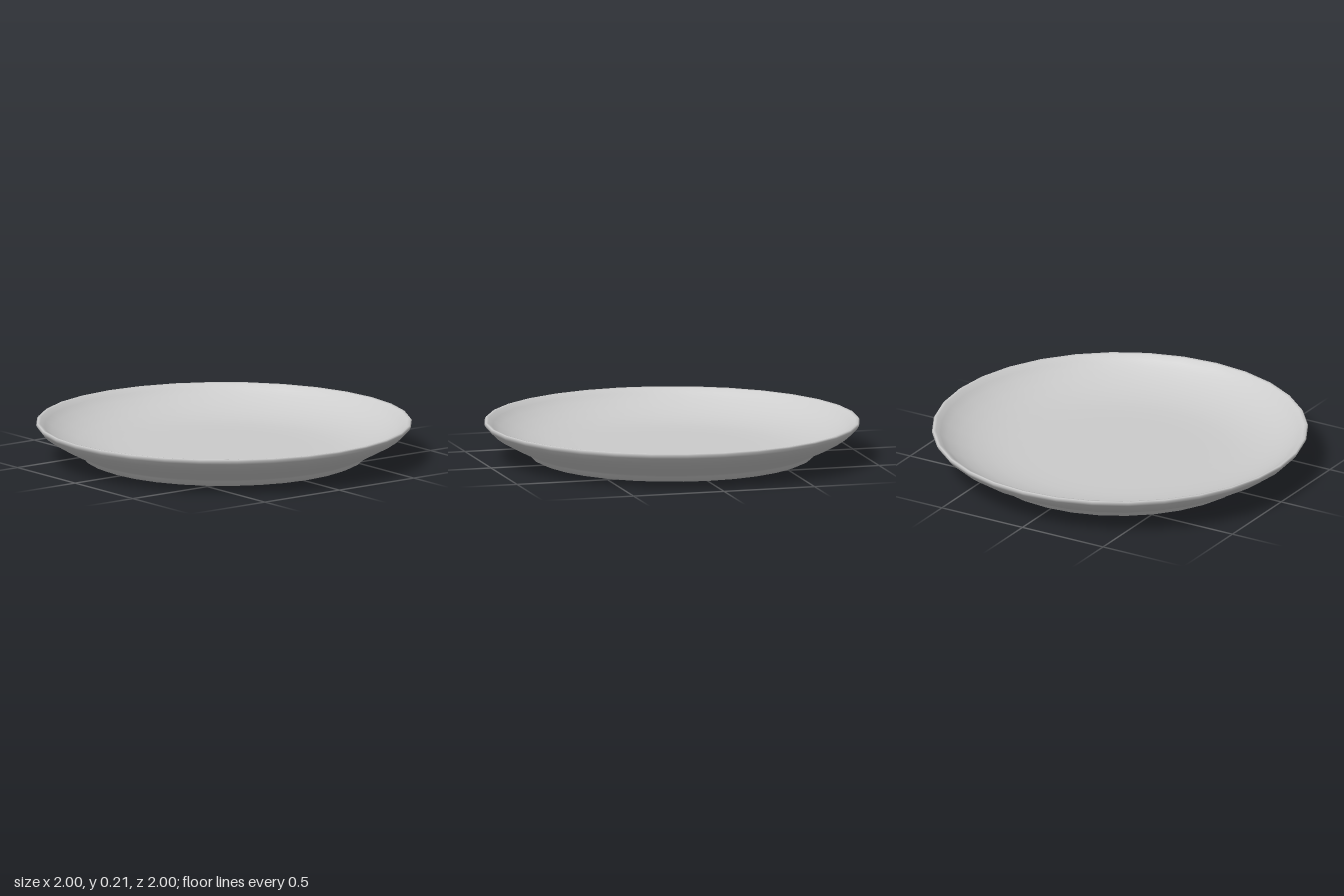
import * as THREE from 'three';

export function createModel() {
  const group = new THREE.Group();
  const material = new THREE.MeshStandardMaterial({ color: 0xcccccc });

  // Closed half-section [radius, height]: underside, foot, outer wall, rim, dished inside
  const section = [
    [0, 0.005], [0.4, 0.005], [0.68, 0.006], [0.72, 0.012], [0.75, 0.025],
    [0.755, 0.043], [0.775, 0.056], [0.84, 0.084], [0.92, 0.127], [0.965, 0.158],
    [0.99, 0.185], [1, 0.203], [0.993, 0.212], [0.978, 0.209],
    [0.955, 0.188], [0.92, 0.162], [0.86, 0.13], [0.78, 0.101], [0.68, 0.08],
    [0.58, 0.071], [0.45, 0.068], [0, 0.068],
  ].map(([r, y]) => new THREE.Vector2(r, y));

  const plate = new THREE.Mesh(new THREE.LatheGeometry(section, 32), material);
  plate.name = 'plate';
  group.add(plate);
  return group;
}
